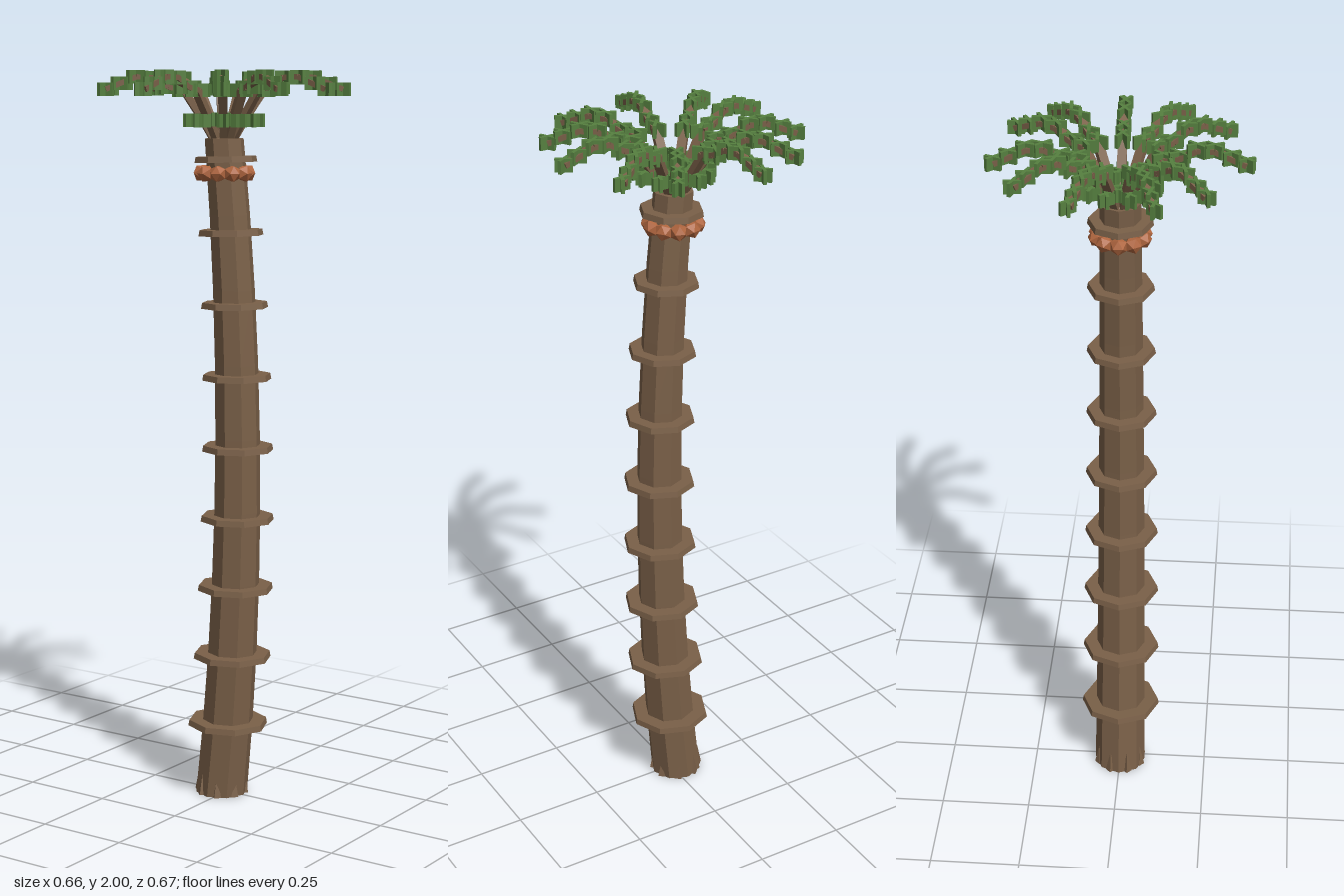
import * as THREE from 'three';

const bark = new THREE.MeshStandardMaterial({ color: 0x7a6048 });
bark.name = 'bark brown';
const leaf = new THREE.MeshStandardMaterial({ color: 0x568040 });
leaf.name = 'leaf green';
const nutSkin = new THREE.MeshStandardMaterial({ color: 0xb0663f });
nutSkin.name = 'nut orange';

// Sideways bow of the trunk and its taper
const bow = y => 0.036 - 0.059 * (y - 0.95) ** 2;
const girth = y => 0.073 - 0.011 * y;

function flat(geometry) {
  const g = geometry.toNonIndexed();
  g.computeVertexNormals();
  return g;
}

function add(parent, name, geometry, material, x = 0, y = 0, z = 0) {
  const mesh = new THREE.Mesh(geometry, material);
  mesh.name = name;
  mesh.position.set(x, y, z);
  parent.add(mesh);
  return mesh;
}

// Straight beam between two [radius, height] points of a frond
function beam(parent, name, a, b, width, depth) {
  const dx = b[0] - a[0], dy = b[1] - a[1];
  const mesh = add(parent, name, new THREE.BoxGeometry(Math.hypot(dx, dy), depth, width), bark,
    (a[0] + b[0]) / 2, (a[1] + b[1]) / 2, 0);
  mesh.rotation.z = Math.atan2(dy, dx);
}

// Two upright leaf plates crossing on the stem
function leafCross(parent, r, y, length, spread = 0.56) {
  for (const side of [-1, 1]) {
    const plate = add(parent, 'leafPlate', new THREE.BoxGeometry(length, 0.035, 0.009), leaf, r, y, 0);
    plate.rotation.y = side * spread;
  }
}

function makeFrond(degrees) {
  const frond = new THREE.Group();
  frond.name = 'frond';
  frond.position.x = -0.01;
  frond.rotation.y = -THREE.MathUtils.degToRad(degrees);

  // Stalk rising out of the crown, then the arched rib
  const rib = [[0.11, 1.947], [0.15, 1.955], [0.193, 1.98], [0.237, 1.982], [0.28, 1.965], [0.318, 1.95]];
  beam(frond, 'stalk', [0.025, 1.81], [0.06, 1.87], 0.02, 0.016);
  beam(frond, 'stalk', [0.058, 1.868], rib[0], 0.024, 0.016);
  for (let i = 1; i < rib.length; i++) beam(frond, 'rib', rib[i - 1], rib[i], 0.024, 0.014);
  rib.forEach(([r, y], i) => leafCross(frond, r, y, 0.06 - i * 0.003));

  // Low leaves around the foot of the stalk
  leafCross(frond, 0.05, 1.87, 0.05, 0.9);
  leafCross(frond, 0.088, 1.868, 0.045);
  return frond;
}

export function createModel() {
  const model = new THREE.Group();
  model.name = 'palmTree';

  // Bowed eight-sided trunk
  const trunkTop = 1.82;
  const trunkGeo = new THREE.CylinderGeometry(1, 1, trunkTop, 8, 9);
  const p = trunkGeo.attributes.position;
  for (let i = 0; i < p.count; i++) {
    const y = p.getY(i) + trunkTop / 2;
    p.setXYZ(i, p.getX(i) * girth(y) + bow(y), y, p.getZ(i) * girth(y));
  }
  add(model, 'trunk', flat(trunkGeo), bark);
  add(model, 'crownCore', flat(new THREE.CylinderGeometry(0.015, 0.04, 0.04, 8)), bark, -0.01, 1.835, 0);

  // Small root wedges at the foot
  for (let i = 0; i < 8; i++) {
    const a = (i + 0.5) * Math.PI / 4;
    add(model, 'root', flat(new THREE.ConeGeometry(0.014, 0.065, 4)), bark,
      bow(0) + Math.cos(a) * 0.064, 0.0325, Math.sin(a) * 0.064);
  }

  // Growth rings
  for (let i = 0; i < 9; i++) {
    const y = 0.205 + i * 0.195;
    const r = 0.112 - i * 0.0033;
    const ring = add(model, 'trunkRing', flat(new THREE.CylinderGeometry(r - 0.003, r, 0.016, 8)), bark, bow(y), y, 0);
    ring.rotation.z = 0.118 * (y - 0.95) * 0.3;
  }

  // Nuts hanging under the top ring
  for (let i = 0; i < 10; i++) {
    const a = i * Math.PI / 5;
    const nut = add(model, 'nut', new THREE.IcosahedronGeometry(0.024, 0), nutSkin,
      -0.008 + Math.cos(a) * 0.062, 1.728, Math.sin(a) * 0.062);
    nut.rotation.y = -a;
  }

  // Crown of fronds
  for (const angle of [-1, 29, 57, 96, 135, 161, 199, 231, 258, 299, 324]) model.add(makeFrond(angle));

  return model;
}
